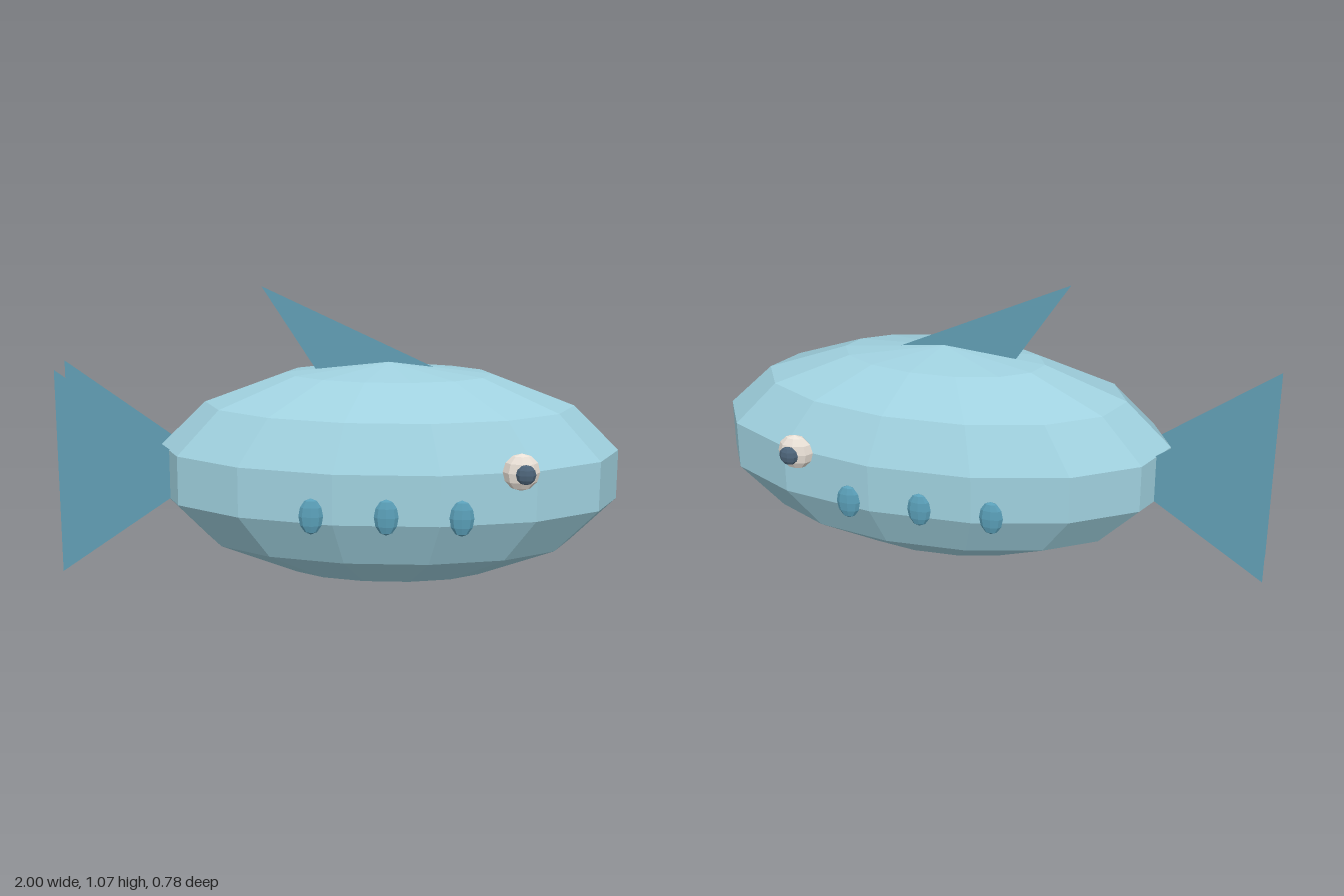
import * as THREE from 'three';

const material = (color, side = THREE.FrontSide) =>
  new THREE.MeshStandardMaterial({ color, flatShading: true, side });

// Faceted ellipsoid with radii r, centred at p
function ellipsoid(name, r, p, segments, rings, mat) {
  const geometry = new THREE.SphereGeometry(1, segments, rings);
  geometry.scale(...r);
  const mesh = new THREE.Mesh(geometry, mat);
  mesh.name = name;
  mesh.position.set(...p);
  return mesh;
}

// Flat triangular fin in the xy plane at depth z
function fin(name, points, z, mat) {
  const shape = new THREE.Shape(points.map(([x, y]) => new THREE.Vector2(x, y)));
  const mesh = new THREE.Mesh(new THREE.ShapeGeometry(shape), mat);
  mesh.name = name;
  mesh.position.z = z;
  return mesh;
}

export function createModel() {
  const model = new THREE.Group();
  model.name = 'fish';

  const skin = material(0x9fd0de);
  const finColor = material(0x619db3, THREE.DoubleSide);
  const gillColor = material(0x5a9fb8);
  const eyeColor = material(0xe9e0d6);
  const pupilColor = material(0x4c6378);

  // Body
  model.add(ellipsoid('body', [0.841, 0.402, 0.389], [0.18, 0.402, 0], 14, 7, skin));

  // Dorsal fin, its root sunk into the back
  model.add(fin('dorsalFin', [[-0.27, 1.07], [-0.07, 0.76], [0.36, 0.776]], 0, finColor));

  // Paired parts on both flanks
  for (const [side, s] of [['left', -1], ['right', 1]]) {
    model.add(fin(side + 'TailFin', [[-1, 0.78], [-1, 0.03], [-0.47, 0.405]], s * 0.083, finColor));
    model.add(ellipsoid(side + 'Eye', [0.063, 0.065, 0.034], [0.632, 0.5, s * 0.336], 8, 6, eyeColor));
    model.add(ellipsoid(side + 'Pupil', [0.034, 0.035, 0.018], [0.645, 0.5, s * 0.372], 8, 6, pupilColor));
    [-0.075, 0.18, 0.435].forEach((x, i) =>
      model.add(ellipsoid(`${side}GillSpot${i + 1}`, [0.042, 0.064, 0.017], [x, 0.345, s * 0.373], 8, 6, gillColor)));
  }
  return model;
}
